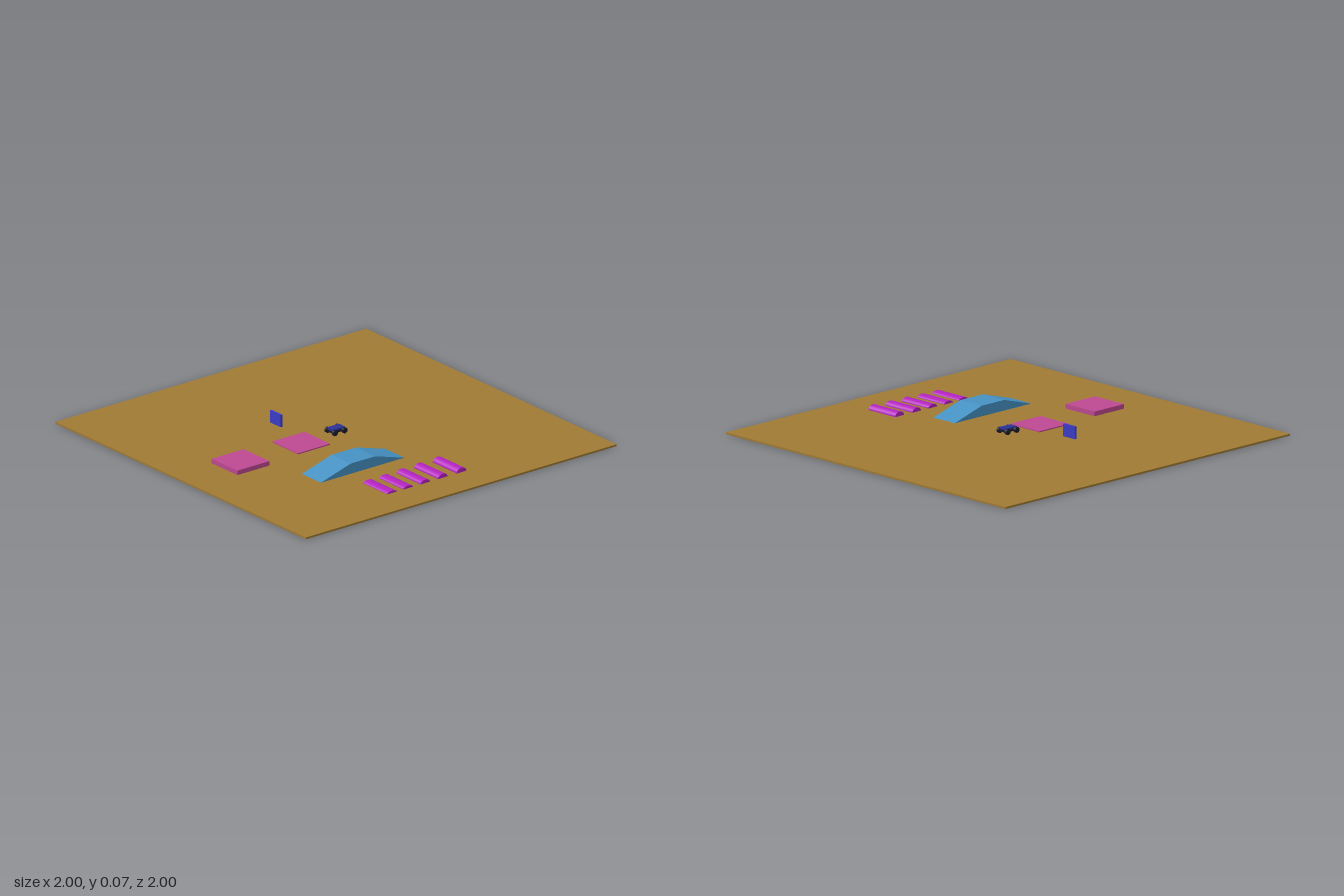
import * as THREE from 'three';

const GROUND = 0.01;

export function createModel() {
  const model = new THREE.Group();
  const paint = (color) => new THREE.MeshStandardMaterial({ color });
  const sand = paint(0xa07a33), pink = paint(0xbe4892), sky = paint(0x4692c4);
  const purple = paint(0xb322c0), blue = paint(0x3c3cc8), navy = paint(0x2c3296), dark = paint(0x1c1c2c);

  const add = (name, geometry, material, parent = model) => {
    const mesh = new THREE.Mesh(geometry, material);
    mesh.name = name;
    parent.add(mesh);
    return mesh;
  };
  // Box given by its limits on each axis
  const box = (name, [x0, x1], [y0, y1], [z0, z1], material, parent) => {
    const mesh = add(name, new THREE.BoxGeometry(x1 - x0, y1 - y0, z1 - z0), material, parent);
    mesh.position.set((x0 + x1) / 2, (y0 + y1) / 2, (z0 + z1) / 2);
    return mesh;
  };

  // Ground slab, two platforms and an upright panel
  box('ground', [-1, 1], [0, GROUND], [-1, 1], sand);
  box('lowPlatform', [-0.102, 0.104], [GROUND, 0.016], [0.122, 0.328], pink);
  box('highPlatform', [-0.075, 0.131], [GROUND, 0.034], [0.534, 0.74], pink);
  box('uprightPanel', [-0.32, -0.235], [GROUND, 0.075], [0.155, 0.167], blue);

  // Ramp: slope up, flat top, slope down, swept across x
  const profile = new THREE.Shape(
    [[-0.478, GROUND], [0.06, GROUND], [-0.13, 0.065], [-0.287, 0.065]].map(([z, y]) => new THREE.Vector2(z, y)));
  const ramp = add('ramp', new THREE.ExtrudeGeometry(profile, { depth: 0.153, bevelEnabled: false }), sky);
  ramp.rotation.y = Math.PI / 2;
  ramp.position.x = 0.32;

  // Rounded speed bumps, lower towards the front
  [[-0.16, 0.034], [-0.04, 0.031], [0.073, 0.028], [0.183, 0.024], [0.287, 0.022]].forEach(([z, top], i) => {
    const geometry = new THREE.CylinderGeometry(1, 1, 0.192, 24, 1, false, 0, Math.PI);
    geometry.rotateZ(Math.PI / 2).scale(1, top - GROUND, 0.031);
    add(`speedBump${i + 1}`, geometry, purple).position.set(0.708, GROUND, z);
  });

  // Small vehicle with four wheels
  const car = new THREE.Group();
  car.name = 'vehicle';
  model.add(car);
  box('chassis', [-0.022, 0.022], [0.022, 0.034], [-0.038, 0.038], dark, car);
  box('body', [-0.024, 0.024], [0.034, 0.044], [-0.038, 0.038], navy, car);
  for (const x of [-0.029, 0.029]) {
    for (const z of [-0.031, 0.031]) {
      const wheel = add('wheel', new THREE.CylinderGeometry(0.015, 0.015, 0.013, 16), dark, car);
      wheel.rotation.z = Math.PI / 2;
      wheel.position.set(x, 0.027, z);
    }
  }
  return model;
}
